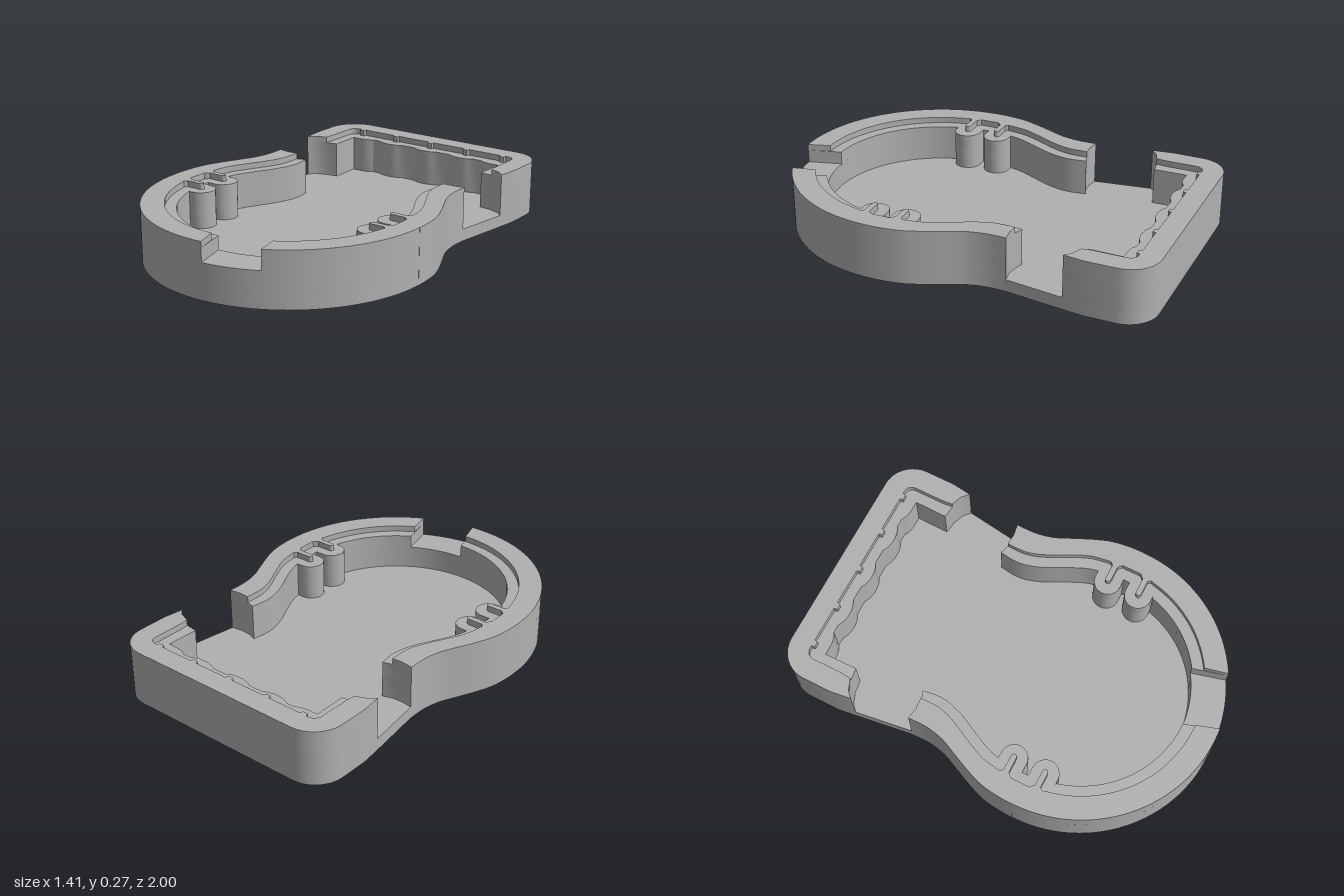
import * as THREE from 'three';
import { toCreasedNormals } from 'three/addons/utils/BufferGeometryUtils.js';

// Heights of floor, notch sill, inner ledge and rim
const FLOOR = 0.06, SILL = 0.175, LEDGE = 0.24, TOP = 0.27;
const CZ = 0.3; // centre of the round front end

const smooth = (pts, n) =>
  new THREE.SplineCurve(pts.map(([x, z]) => new THREE.Vector2(x, z))).getPoints(n).map((p) => [p.x, p.y]);

// Arc of radius r about (cx, cz); angle in degrees from +z towards +x
function arc(cx, cz, r, a0, a1, n) {
  return Array.from({ length: n + 1 }, (_, i) => {
    const a = THREE.MathUtils.degToRad(a0 + ((a1 - a0) * i) / n);
    return [cx + r * Math.sin(a), cz + r * Math.cos(a)];
  });
}

const flip = (pts) => pts.map(([x, z]) => [-x, z]);
const mirrored = (half) => [...half, ...flip(half).reverse()];

// Plan outline (x, z) raised from y0 to y1
function slab(pts, y0, y1) {
  const clean = pts.filter((p, i) => {
    const q = pts[(i + 1) % pts.length];
    return Math.hypot(p[0] - q[0], p[1] - q[1]) > 1e-4;
  });
  const shape = new THREE.Shape(clean.map(([x, z]) => new THREE.Vector2(x, -z)));
  const geo = new THREE.ExtrudeGeometry(shape, { depth: y1 - y0, bevelEnabled: false });
  geo.rotateX(-Math.PI / 2).translate(0, y0, 0);
  return toCreasedNormals(geo, 0.5);
}

// Outer outline, +x half
const backOuter = [[0, -1], ...arc(0.46, -0.85, 0.15, 180, 90, 10), [0.61, -0.7], [0.597, -0.6]];
const waist = smooth([[0.557, -0.315], [0.557, -0.22], [0.575, -0.13], [0.61, -0.05], [0.655, 0.05],
  [0.687, 0.14], [0.7, 0.23], [0.703, CZ]], 28);
const outerArc = (cut) => arc(0, CZ, 0.702, 90, cut, 40);

// Curved cheeks of the side openings, from outside inwards
const frontCheek = [[0.5, -0.306], [0.445, -0.31], [0.4, -0.325]];
const backCheek = [[0.565, -0.63], [0.51, -0.652], [0.447, -0.66]];

// Inner face of the front wall with its two rounded posts
const post = (z) => [...arc(0.5, z, 0.066, 0, -180, 12).map(([x, zz]) => [x - 0.003, zz])].reverse();
function innerFront(cut) {
  return [
    ...smooth([[0.4, -0.325], [0.39, -0.22], [0.42, -0.11], [0.48, 0.01], [0.515, 0.09], [0.528, 0.142]], 16),
    ...post(0.208), [0.542, 0.272], [0.542, 0.304], ...post(0.37), [0.528, 0.436],
    ...arc(0, CZ, 0.535, 75, cut, 36),
  ];
}

// Edge of the raised rim, with a thin finger above each post
const finger = (z) => [[0.575, z - 0.014], ...arc(0.5, z, 0.014, 180, 360, 6), [0.575, z + 0.014]];
function rimFront(cut) {
  return [
    ...smooth([[0.445, -0.31], [0.446, -0.21], [0.475, -0.12], [0.53, -0.01], [0.57, 0.08], [0.588, 0.18]], 16),
    ...finger(0.208), [0.595, 0.24], [0.595, 0.338], ...finger(0.37), [0.585, 0.4],
    ...arc(0, CZ, 0.59, 79, cut, 36),
  ];
}

// Half of the front wall, ending at the given plan angles
const frontHalf = (outCut, cheekCount, inner) =>
  [...waist, ...outerArc(outCut), ...inner.slice().reverse(), ...frontCheek.slice(0, cheekCount).reverse()];

// Scalloped inner face of the back wall, and rim edge with small teeth
const bump = (x) => [[x + 0.075, -0.844], [x + 0.045, -0.83], [x + 0.015, -0.824],
  [x - 0.015, -0.824], [x - 0.045, -0.83], [x - 0.075, -0.844]];
const tooth = (x) => [[x + 0.017, -0.896], [x + 0.013, -0.88], [x - 0.013, -0.88], [x - 0.017, -0.896]];
const innerBack = [[0.447, -0.66], [0.45, -0.824], [0.395, -0.824], [0.36, -0.83], [0.335, -0.844],
  ...bump(0.22), ...bump(0).slice(0, 3)];
const rimBack = [[0.51, -0.652], [0.505, -0.7], ...arc(0.465, -0.856, 0.04, 90, 180, 6), [0.452, -0.896],
  [0.448, -0.88], [0.422, -0.88], [0.418, -0.896], ...tooth(0.22), ...tooth(0).slice(0, 2)];

export function createModel() {
  const group = new THREE.Group();
  const grey = new THREE.MeshStandardMaterial({ color: 0xb0b0b0 });
  grey.name = 'grey';
  const add = (name, pts, y0, y1) => {
    const mesh = new THREE.Mesh(slab(pts, y0, y1), grey);
    mesh.name = name;
    group.add(mesh);
  };

  // Floor plate
  add('floor', mirrored([...backOuter, ...waist, ...outerArc(0)]), 0, FLOOR);

  // Back wall up to the ledge, then the narrower rim
  add('backWall', mirrored([...backOuter, ...backCheek, ...innerBack]), FLOOR, LEDGE);
  add('backRim', mirrored([...backOuter, ...backCheek.slice(0, 2), ...rimBack]), LEDGE, TOP);

  // Front wall below the sill of the slanted notch
  const lower = [...innerFront(0).reverse(), ...frontCheek.slice(0, 2).reverse(), ...waist, ...outerArc(0)];
  const half = [...lower];
  add('frontWallLeft', half, FLOOR, SILL);
  add('frontWallRight', flip(half), FLOOR, SILL);

  // Front wall on each side of the notch; cuts are outer, rim and inner angles
  const sides = [
    { name: 'Left', cuts: [27.2, 30, 31.2], turn: (p) => p },
    { name: 'Right', cuts: [-4.5, -1.9, -1], turn: flip },
  ];
  for (const { name, cuts, turn } of sides) {
    add('frontLedge' + name, turn(frontHalf(cuts[0], 2, innerFront(cuts[2]))), SILL, LEDGE);
    add('frontRim' + name, turn(frontHalf(cuts[0], 1, rimFront(cuts[1]))), LEDGE, TOP);
  }
  return group;
}
